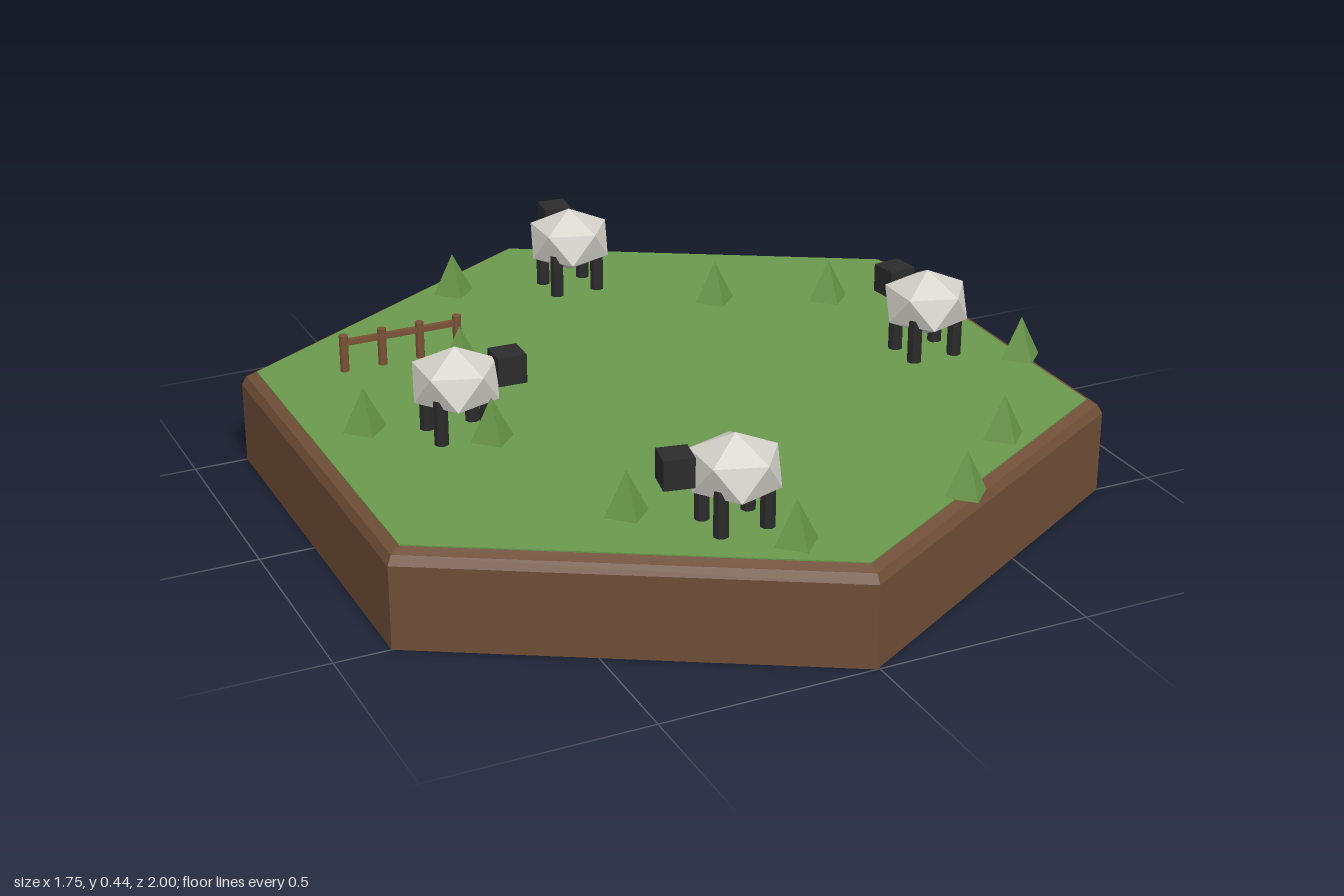
import * as THREE from 'three';

const mat = (name, color) => Object.assign(new THREE.MeshStandardMaterial({ color }), { name });

// Faceted copy of a geometry: every face gets its own normals
function faceted(geometry) {
  const g = geometry.index ? geometry.toNonIndexed() : geometry;
  g.computeVertexNormals();
  return g;
}

export function createModel() {
  const soil = mat('soil brown', 0x6f4e37);
  const grass = mat('grass green', 0x6a994e);
  const leaf = mat('tree green', 0x669446);
  const wool = mat('wool white', 0xd6d3cb);
  const dark = mat('dark grey', 0x2b2b2b);
  const wood = mat('fence wood', 0x7a5236);

  const model = new THREE.Group();
  model.name = 'meadowTile';
  const add = (parent, name, geometry, material, x = 0, y = 0, z = 0) => {
    const mesh = new THREE.Mesh(geometry, material);
    mesh.name = name;
    mesh.position.set(x, y, z);
    parent.add(mesh);
    return mesh;
  };

  // Hexagonal soil block with a softened top edge
  const profile = [[0, 0], [1, 0], [1, 0.195], [0.988, 0.216], [0.962, 0.226], [0, 0.226]]
    .map(([r, y]) => new THREE.Vector2(r, y));
  add(model, 'soilBase', faceted(new THREE.LatheGeometry(profile, 6)), soil, -0.007);

  // Grass sheet
  const TOP = 0.229;
  add(model, 'grassTop', faceted(new THREE.CylinderGeometry(0.962, 0.962, 0.006, 6)), grass, -0.007, TOP - 0.003);

  // Four-sided trees
  const treeShape = faceted(new THREE.ConeGeometry(0.052, 0.102, 4));
  const trees = [
    [-0.247, -0.745], [0.12, -0.824], [0.322, -0.418], [0.582, -0.307],
    [-0.398, -0.307], [-0.718, -0.073], [-0.48, 0.095], [0.82, 0.207],
    [-0.363, 0.554], [-0.104, 0.823], [0.548, 0.568], [0.327, 0.775],
  ];
  for (const [x, z] of trees) add(model, 'tree', treeShape, leaf, x, TOP + 0.05, z);

  // Sheep: flattened icosahedron with a corner on top, four legs, box head
  const woolShape = new THREE.IcosahedronGeometry(1, 0);
  woolShape.rotateZ(Math.atan(2 / (1 + Math.sqrt(5))));
  woolShape.rotateY(Math.PI);
  woolShape.scale(0.11, 0.081, 0.11);
  const legShape = faceted(new THREE.CylinderGeometry(0.017, 0.017, 0.11, 8));
  const headShape = new THREE.BoxGeometry(0.068, 0.068, 0.068);
  const flock = [ // position and head offset
    [-0.536, 0.027, 0.122, 0.005],
    [0.035, -0.66, 0.012, -0.122],
    [-0.176, 0.685, -0.125, -0.024],
    [0.633, 0.08, -0.015, -0.126],
  ];
  for (const [x, z, hx, hz] of flock) {
    const sheep = new THREE.Group();
    sheep.name = 'sheep';
    sheep.position.set(x, 0, z);
    add(sheep, 'woolBody', woolShape, wool, 0, 0.354, 0);
    add(sheep, 'head', headShape, dark, hx, 0.369, hz).rotation.y = Math.atan2(hx, hz);
    for (const sx of [-1, 1])
      for (const sz of [-1, 1])
        add(sheep, 'leg', legShape, dark, sx * 0.054, TOP + 0.052, sz * 0.045);
    model.add(sheep);
  }

  // Fence: four round posts and one rail
  const fence = new THREE.Group();
  fence.name = 'fence';
  fence.position.set(-0.511, 0, -0.398);
  const postShape = faceted(new THREE.CylinderGeometry(0.011, 0.011, 0.092, 8));
  for (let i = 0; i < 4; i++)
    add(fence, 'fencePost', postShape, wood, -0.141 + i * 0.094, TOP + 0.044, 0);
  add(fence, 'fenceRail', new THREE.BoxGeometry(0.3, 0.014, 0.012), wood, 0, 0.3, 0);
  model.add(fence);

  return model;
}
